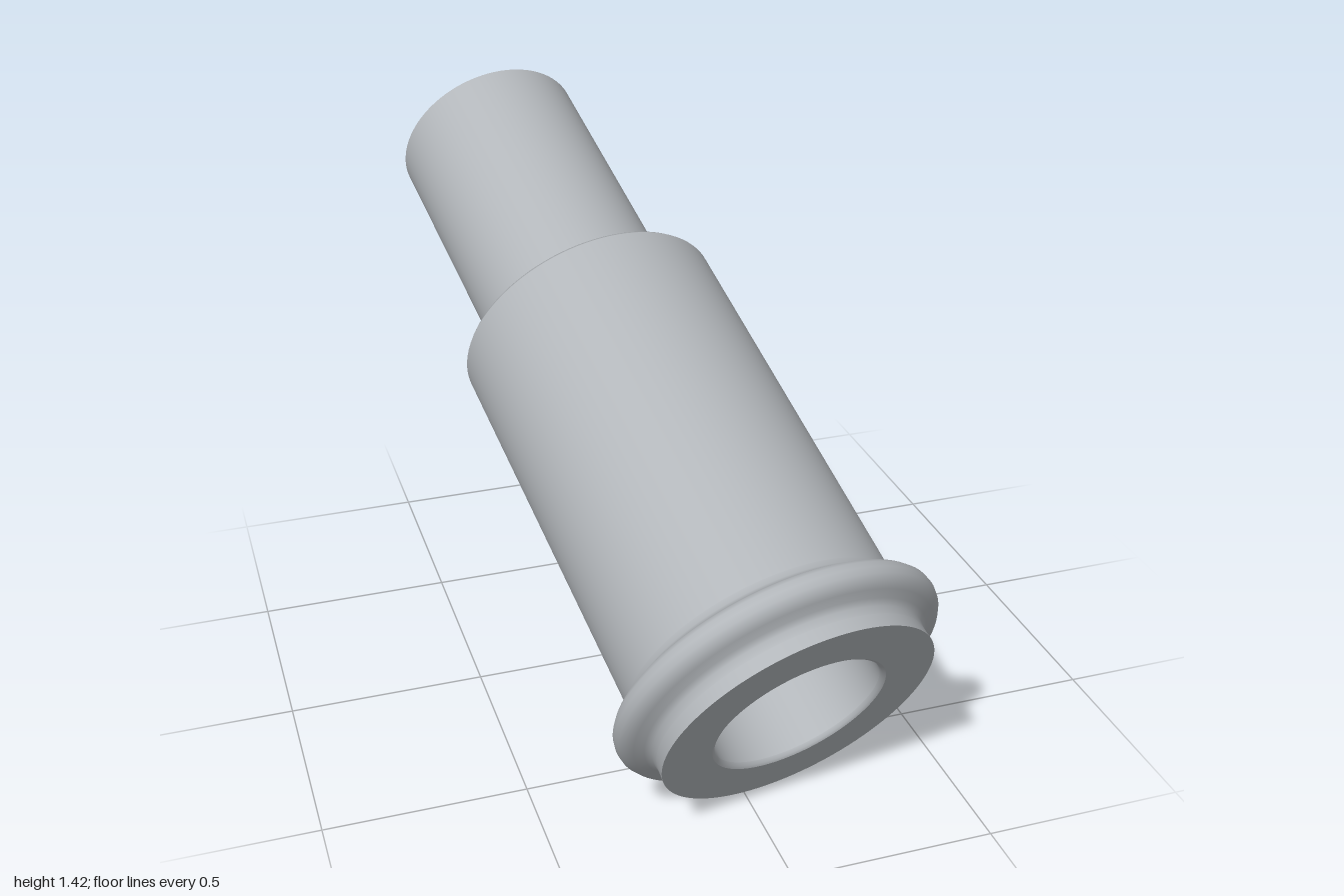
import * as THREE from 'three';

export function createModel() {
  const metal = new THREE.MeshStandardMaterial({ color: 0xb2b6ba });
  metal.name = 'grey metal';

  const sleeve = new THREE.Group();
  sleeve.name = 'steppedSleeve';

  // Each [radius, height] profile is one smooth surface; hard edges fall between parts
  const turn = (name, profile) => {
    const points = profile.map(([r, h]) => new THREE.Vector2(r, h));
    const mesh = new THREE.Mesh(new THREE.LatheGeometry(points, 96), metal);
    mesh.name = name;
    sleeve.add(mesh);
  };

  const length = 1.948, body = 0.348, tube = 0.252, bore = 0.212;

  // Front ring, and the rounded flange that flows out of it
  turn('frontFace', [[bore + 0.01, 0], [body, 0]]);
  turn('frontRing', [[body, 0], [0.346, 0.035]]);
  turn('flange', [
    [0.346, 0.035], [0.349, 0.053], [0.362, 0.065], [0.385, 0.073], [0.402, 0.083],
    [0.412, 0.097], [0.415, 0.113], [0.412, 0.129], [0.403, 0.141], [0.387, 0.150],
    [0.367, 0.160], [0.354, 0.172], [body, 0.188],
  ]);

  // Wide body, sloping shoulder, narrow tube
  turn('body', [[body, 0.188], [body, 1.218]]);
  turn('shoulder', [[body, 1.218], [0.343, 1.225], [0.31, 1.235], [0.275, 1.247], [tube, 1.262]]);
  turn('tube', [[tube, 1.262], [tube, length]]);
  turn('tubeEnd', [[tube, length], [bore, length]]);

  // Through bore with a small eased edge at the front
  turn('bore', [[bore, length], [bore, 0.012]]);
  turn('boreEdge', [[bore, 0.012], [bore + 0.003, 0.004], [bore + 0.01, 0]]);

  // Tilt the axis up and back, resting on the flange
  const axis = new THREE.Vector3(-0.146, 0.447, -0.883).normalize();
  sleeve.quaternion.setFromUnitVectors(new THREE.Vector3(0, 1, 0), axis);
  sleeve.position.set(0.069, 0.322, 0.838);

  const model = new THREE.Group();
  model.name = 'model';
  model.add(sleeve);
  return model;
}
